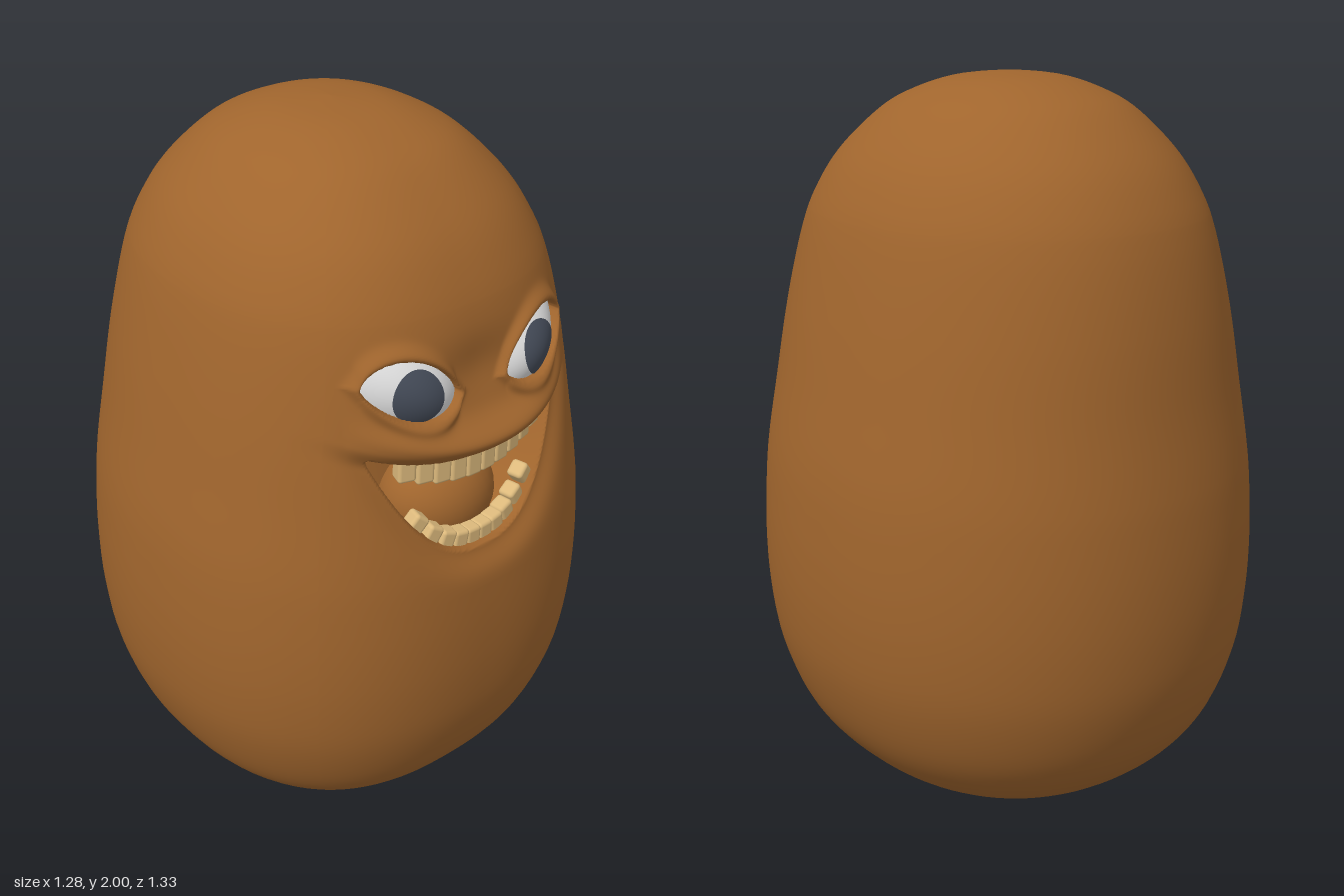
import * as THREE from 'three';
import { RoundedBoxGeometry } from 'three/addons/geometries/RoundedBoxGeometry.js';

const mat = (name, color) => {
  const m = new THREE.MeshStandardMaterial({ color });
  m.name = name;
  return m;
};
const smooth = THREE.MathUtils.smoothstep;
const gauss = (d, w) => Math.exp(-((d / w) ** 2));

// Body profile as radius, height
const profile = new THREE.SplineCurve([
  [0, 0.005], [0.15, 0.014], [0.29, 0.052], [0.41, 0.118], [0.5, 0.2], [0.565, 0.302], [0.615, 0.45],
  [0.636, 0.6], [0.641, 0.75], [0.635, 0.9], [0.622, 1.03], [0.592, 1.2], [0.554, 1.4], [0.507, 1.6],
  [0.47, 1.7], [0.41, 1.8], [0.315, 1.9], [0.236, 1.95], [0.13, 1.987], [0, 2],
].map(p => new THREE.Vector2(...p))).getPoints(800);

function radiusX(y) {
  if (y <= profile[0].y || y >= 2) return 0;
  const i = profile.findIndex(p => p.y >= y);
  const a = profile[i - 1], b = profile[i];
  return a.x + (b.x - a.x) * (y - a.y) / (b.y - a.y || 1);
}
const radiusZ = y => radiusX(y) * (1.04 + 0.05 * smooth(y, 1, 1.6));

// Cross-section is a superellipse, squarer at the front than at the back
const FRONT = 2.4, BACK = 2.1;
const section = (s, n) => Math.max(0, 1 - Math.abs(s) ** n) ** (1 / n);
const baseZ = (x, y) => radiusZ(y) * section(x / radiusX(y), FRONT);

// Mouth outline: upper and lower edges meeting at the corners
const MOUTH = 0.32;
const mouthTop = x => 1.275 + 0.055 * (x / MOUTH) ** 2;
const mouthBottom = x => 1.0 + 0.33 * Math.abs(x / MOUTH) ** 2.5;
const mouthSlope = x => 2.58 * Math.abs(x / MOUTH) ** 1.5;

// Eye opening: tilted almond, mirrored in x
const EYE = { x: 0.2, y: 1.482, w: 0.122 };
function eyeLocal(x, y) {
  const dx = Math.abs(x) - EYE.x;
  return { u: dx / EYE.w, v: y - EYE.y - 0.24 * dx };
}

// Sculpting offset of the face along z
function faceOffset(x, y) {
  const lower = (y - mouthBottom(x)) / Math.hypot(1, mouthSlope(x));
  const upper = mouthTop(x) - y;
  let d = -0.22 * smooth(Math.min(upper, lower), 0, 0.028);
  // upper lip, crease around the jaw and bridge between the eyes
  d += 0.05 * gauss(y - mouthTop(x) - 0.052, 0.04) * Math.max(0, 1 - (x / 0.36) ** 2);
  d -= 0.028 * gauss(Math.min(lower, 0), 0.045) * smooth(upper, -0.03, 0.03);
  d -= 0.022 * gauss(x, 0.14) * gauss(y - 1.48, 0.08);
  // eye sockets and lids
  const { u, v } = eyeLocal(x, y);
  const f = 1 - u * u, g = f > 0 ? f ** 0.7 : f;
  const e = v > 0 ? 0.08 * g - v : 0.07 * g + v;
  d += 0.02 * gauss(e + 0.012, 0.02) - 0.09 * smooth(e, 0, 0.012);
  return d;
}

function buildGeometry(pos, index) {
  const g = new THREE.BufferGeometry();
  g.setAttribute('position', new THREE.Float32BufferAttribute(pos, 3));
  g.setIndex(index);
  g.computeVertexNormals();
  return g;
}

// Closed body grid, finer over the face
function bodyGeometry() {
  const angles = [], rows = [];
  for (let i = 0; i < 160; i++) angles.push(-0.8 + 1.6 * i / 160);
  for (let i = 0; i < 60; i++) angles.push(0.8 + (2 * Math.PI - 1.6) * i / 60);
  for (let i = 0; i < 32; i++) rows.push(0.005 + 0.895 * (1 - Math.cos(Math.PI * i / 64)));
  for (let i = 0; i < 140; i++) rows.push(0.9 + 0.75 * i / 140);
  for (let i = 0; i <= 30; i++) rows.push(1.65 + 0.35 * Math.sin(Math.PI * i / 60));
  const pos = [], index = [], n = angles.length;
  rows.forEach((y, r) => {
    const rx = radiusX(y), rz = radiusZ(y);
    angles.forEach((a, c) => {
      const s = Math.sin(a), cos = Math.cos(a);
      const z = cos > 0 ? rz * section(s, FRONT) : -rz * section(s, BACK);
      const onFace = cos > 0.5 && y > 0.85 && y < 1.75;
      pos.push(rx * s, y, z + (onFace ? faceOffset(rx * s, y) : 0));
      if (r === rows.length - 1) return;
      const p = r * n + c, q = r * n + (c + 1) % n;
      index.push(p, q, q + n, p, q + n, p + n);
    });
  });
  return buildGeometry(pos, index);
}

// Oval patch lying on a height rule z(x, y)
function ovalPatch(cx, cy, rx, ry, heightZ) {
  const pos = [cx, cy, heightZ(cx, cy)], index = [], n = 40, rings = 12;
  for (let r = 1; r <= rings; r++) {
    for (let i = 0; i < n; i++) {
      const a = 2 * Math.PI * i / n;
      const x = cx + rx * r / rings * Math.cos(a), y = cy + ry * r / rings * Math.sin(a);
      pos.push(x, y, heightZ(x, y));
      const j = (i + 1) % n, o = 1 + (r - 1) * n;
      if (r === 1) index.push(0, o + i, o + j);
      else index.push(o - n + i, o + i, o + j, o - n + i, o + j, o - n + j);
    }
  }
  return buildGeometry(pos, index);
}

export function createModel() {
  const model = new THREE.Group();
  const skin = mat('brown skin', 0xa0652d);
  const white = mat('eye white', 0xdcdcdc);
  const grey = mat('iris grey', 0x444b58);
  const ivory = mat('tooth ivory', 0xdcb97c);
  const add = (name, geometry, material, parent = model) => {
    const m = new THREE.Mesh(geometry, material);
    m.name = name;
    parent.add(m);
    return m;
  };
  const addGroup = name => {
    const g = new THREE.Group();
    g.name = name;
    model.add(g);
    return g;
  };

  add('body', bodyGeometry(), skin);

  // Eyes
  const eyeZ = (x, y) => {
    const { u, v } = eyeLocal(x, y);
    return baseZ(x, y) - 0.018 + 0.042 * (1 - u * u - (v / 0.09) ** 2);
  };
  for (const [side, s] of [['left', 1], ['right', -1]]) {
    add(side + 'Eyeball', ovalPatch(s * EYE.x, EYE.y, 0.13, 0.095, eyeZ), white);
    add(side + 'Iris', ovalPatch(s * 0.197, 1.475, 0.064, 0.067, (x, y) => eyeZ(x, y) + 0.004), grey);
  }

  // Tongue
  const tongue = add('tongue', new THREE.SphereGeometry(1, 32, 20), skin);
  tongue.scale.set(0.165, 0.14, 0.14);
  tongue.position.set(0, 1.065, 0.43);

  // Upper teeth along the arch
  const upperTeeth = addGroup('upperTeeth');
  for (let i = 0; i < 10; i++) {
    const x = (i - 4.5) * 0.046;
    const bottom = 1.2 + 0.9 * x * x, top = mouthTop(x) + 0.03;
    const t = add('upperTooth', new RoundedBoxGeometry(0.048, top - bottom, 0.045, 3, 0.009), ivory, upperTeeth);
    t.position.set(x, (top + bottom) / 2, 0.575 - 0.8 * x * x);
    t.rotation.y = Math.atan(1.6 * x);
  }

  // Lower teeth following the jaw
  const lowerTeeth = addGroup('lowerTeeth');
  for (let i = 0; i < 10; i++) {
    const x = (i - 4.5) * 0.042;
    const y = mouthBottom(x) + 0.018;
    const t = add('lowerTooth', new RoundedBoxGeometry(0.046, 0.052, 0.045, 3, 0.01), ivory, lowerTeeth);
    t.position.set(x * 0.95, y, baseZ(x, y) - 0.065);
    t.rotation.set(0, Math.atan(1.2 * x), Math.sign(x) * Math.atan(0.7 * mouthSlope(x)));
  }
  return model;
}
